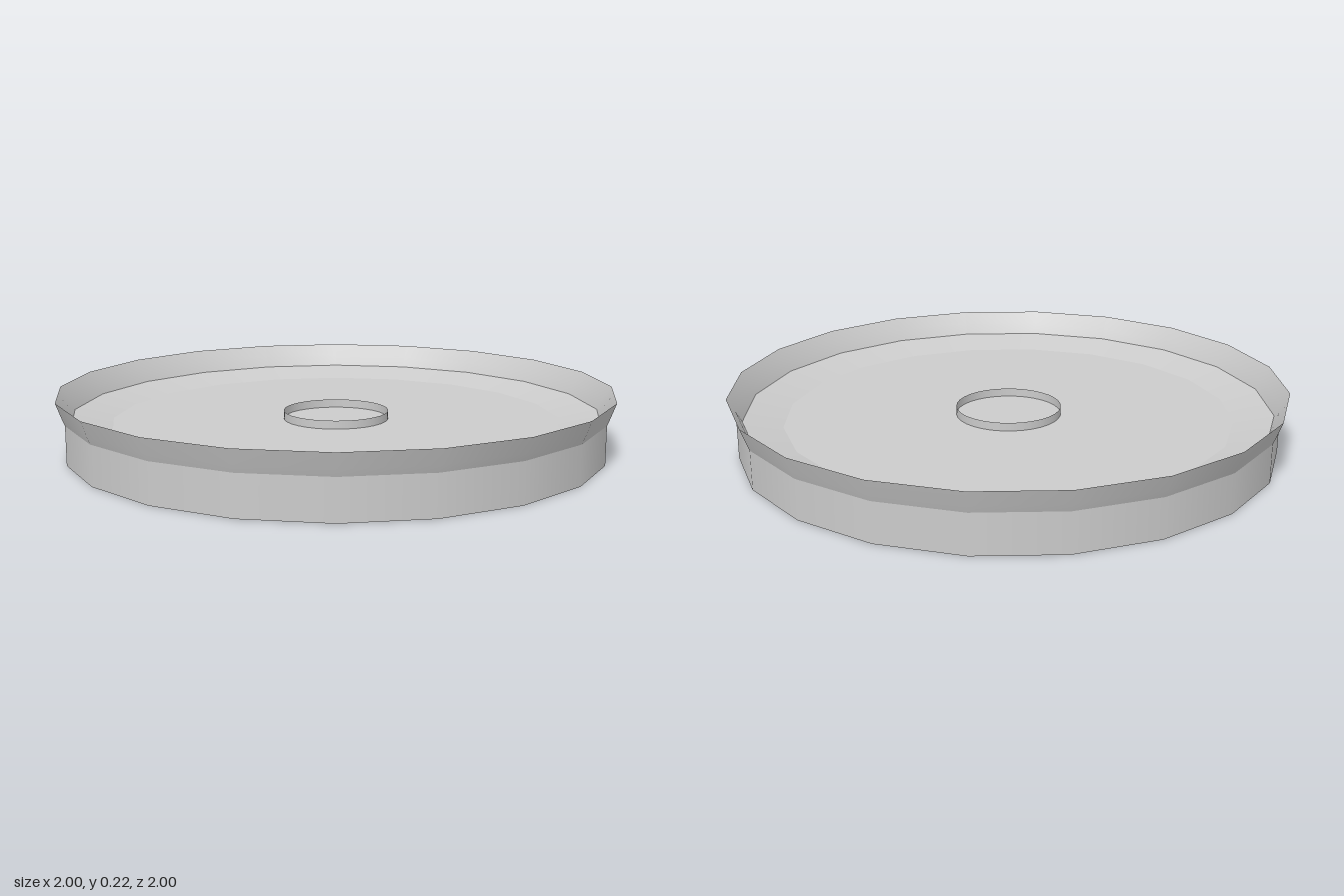
import * as THREE from 'three';

const SIDES = 20;

export function createModel() {
  const model = new THREE.Group();
  const solid = new THREE.MeshStandardMaterial({ color: 0xcccccc });
  const thin = new THREE.MeshStandardMaterial({ color: 0xcccccc, side: THREE.DoubleSide });

  // Each [radius, height] profile becomes one smooth band; separate bands keep edges sharp
  const band = (name, points, sides = SIDES, material = solid) => {
    const profile = points.map(([r, y]) => new THREE.Vector2(r, y));
    const mesh = new THREE.Mesh(new THREE.LatheGeometry(profile, sides), material);
    mesh.name = name;
    model.add(mesh);
  };

  // Outer wall and flared lip
  band('outerWall', [[0.97, 0], [0.97, 0.14]]);
  band('lipOutside', [[0.97, 0.14], [0.98, 0.165], [1, 0.22]]);
  band('lipInside', [[1, 0.22], [0.97, 0.175], [0.95, 0.135]]);

  // Dished upper surface
  band('floorSlope', [[0.95, 0.135], [0.81, 0.104]]);
  band('floor', [[0.81, 0.104], [0, 0.104]]);

  // Foot ring and recessed underside
  band('underside', [[0, 0.04], [0.81, 0.04]]);
  band('footInside', [[0.81, 0.04], [0.81, 0]]);
  band('footRing', [[0.81, 0], [0.97, 0]]);

  // Central collar, open above the floor and closed below the underside
  band('centreCollar', [[0.19, 0.015], [0.19, 0.134]], 32, thin);
  band('collarBase', [[0, 0.015], [0.19, 0.015]], 32);

  return model;
}
